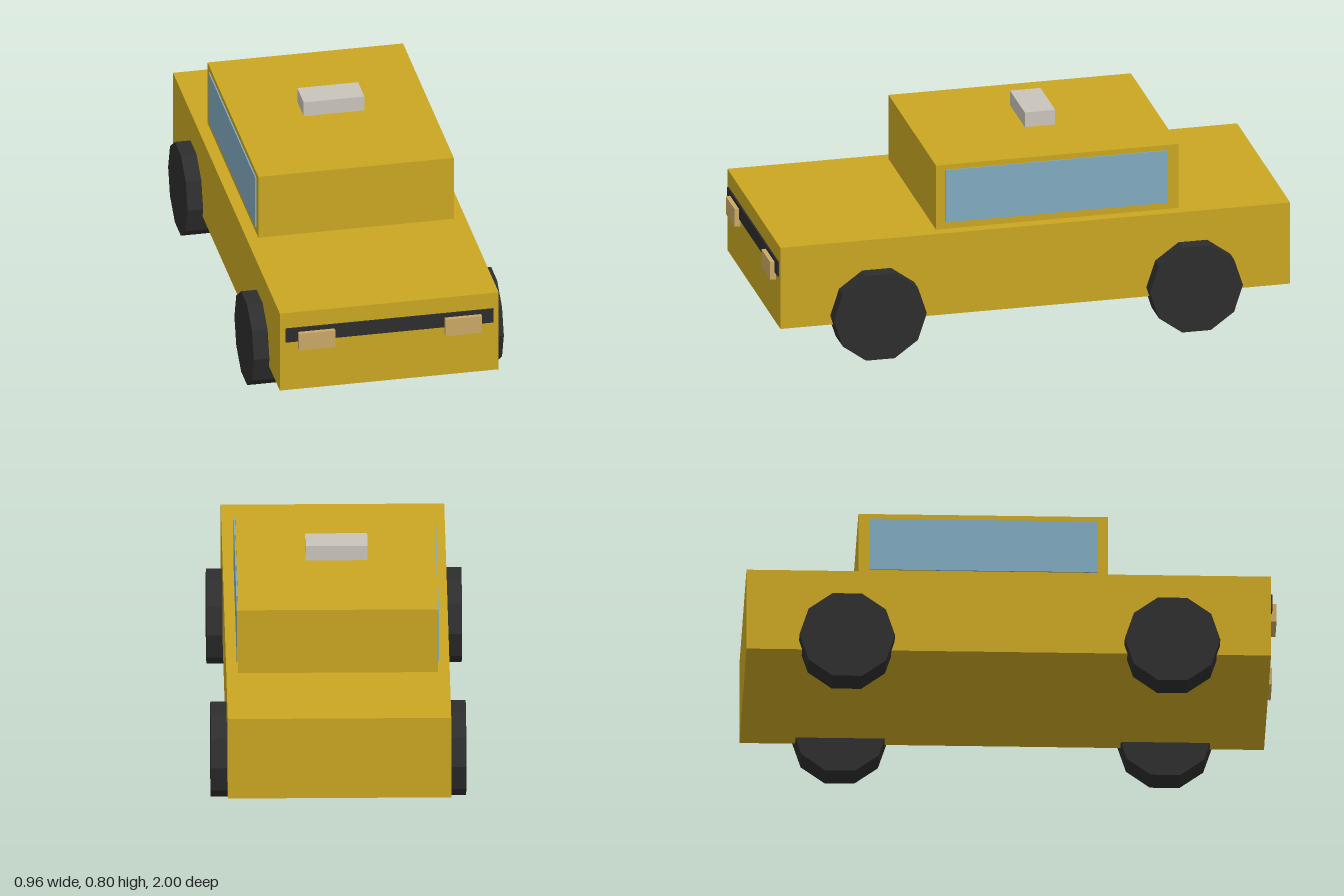
import * as THREE from 'three';

const material = (name, color) => {
  const m = new THREE.MeshStandardMaterial({ color });
  m.name = name;
  return m;
};

export function createModel() {
  const car = new THREE.Group();
  car.name = 'car';

  const paint = material('yellow paint', 0xc9a622);
  const rubber = material('black rubber', 0x2d2d2d);
  const glass = material('blue glass', 0x80a9bf);
  const lamp = material('amber lamp', 0xc9a866);
  const sign = material('pale sign', 0xc9c4ba);

  // Box given by its extents along each axis
  const box = (name, mat, [x0, x1], [y0, y1], [z0, z1]) => {
    const mesh = new THREE.Mesh(new THREE.BoxGeometry(x1 - x0, y1 - y0, z1 - z0), mat);
    mesh.position.set((x0 + x1) / 2, (y0 + y1) / 2, (z0 + z1) / 2);
    mesh.name = name;
    car.add(mesh);
  };

  // Body, cabin and the sign hovering just over the roof
  box('body', paint, [-0.421, 0.421], [0.135, 0.463], [-1, 0.977]);
  box('cabin', paint, [-0.376, 0.376], [0.463, 0.722], [-0.577, 0.363]);
  box('roofSign', sign, [-0.117, 0.117], [0.741, 0.8], [-0.163, -0.045]);

  // Grille
  box('grille', rubber, [-0.4, 0.4], [0.34, 0.398], [0.975, 0.983]);

  // Ten-sided wheels, with a flat side on the ground
  const wheelGeometry = new THREE.CylinderGeometry(0.18, 0.18, 0.116, 10).rotateZ(Math.PI / 2);
  const wheelMaterial = rubber;
  wheelMaterial.flatShading = true;

  for (const [side, s] of [['left', 1], ['right', -1]]) {
    const span = (a, b) => (s > 0 ? [a, b] : [-b, -a]);
    box(`${side}Window`, glass, span(0.373, 0.381), [0.49, 0.701], [-0.535, 0.325]);
    box(`${side}Headlight`, lamp, span(0.212, 0.352), [0.31, 0.381], [0.976, 1]);
    for (const [end, z] of [['Front', 0.604], ['Rear', -0.622]]) {
      const wheel = new THREE.Mesh(wheelGeometry, wheelMaterial);
      wheel.position.set(s * 0.423, 0.1712, z);
      wheel.name = `${side}${end}Wheel`;
      car.add(wheel);
    }
  }
  return car;
}
